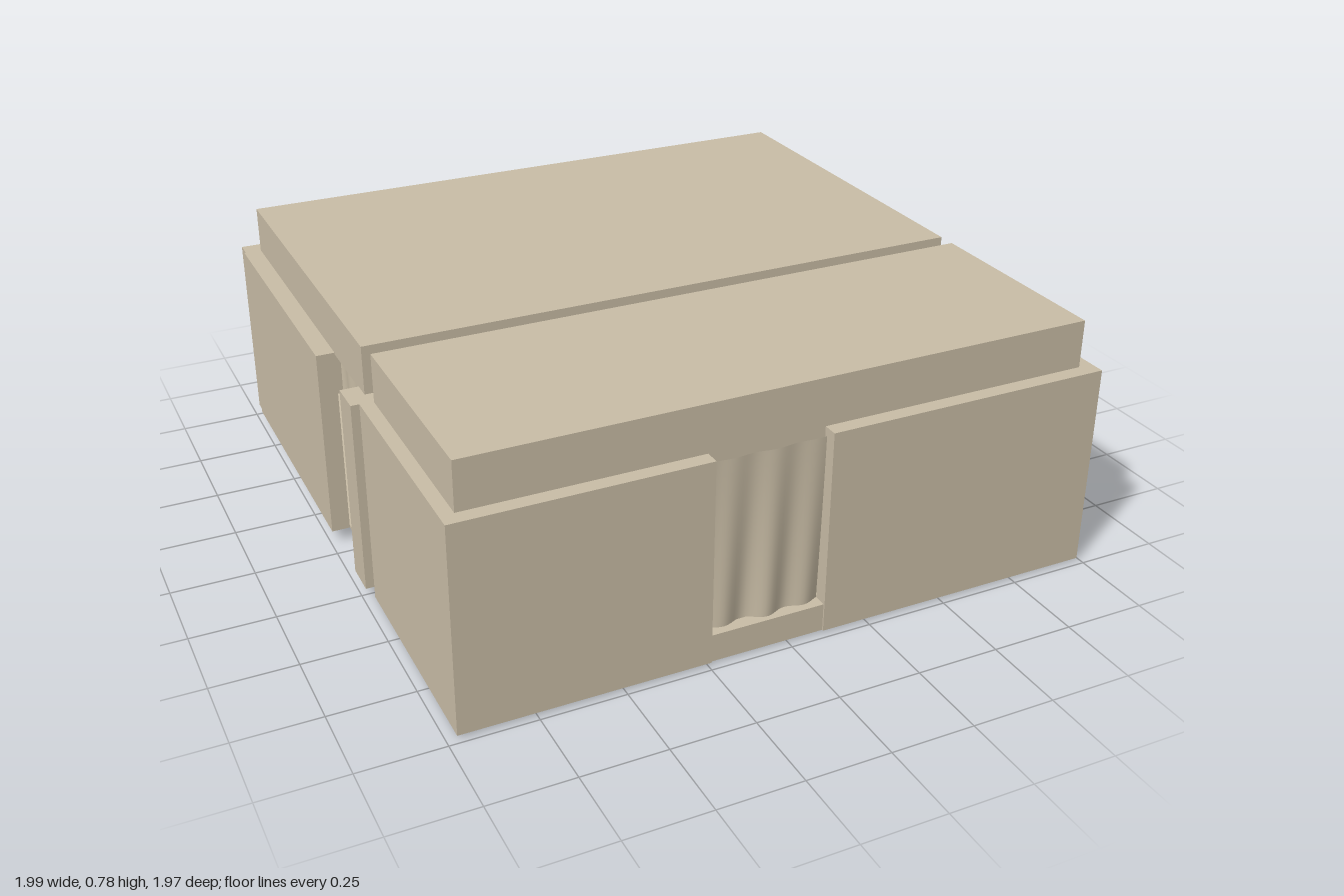
import * as THREE from 'three';

const material = new THREE.MeshStandardMaterial({ color: 0xc9bda6 });
const clothMaterial = new THREE.MeshStandardMaterial({ color: 0xc9bda6, side: THREE.DoubleSide });

// Box given by its limits on each axis
function block(name, [x0, x1], [y0, y1], [z0, z1]) {
  const mesh = new THREE.Mesh(new THREE.BoxGeometry(x1 - x0, y1 - y0, z1 - z0), material);
  mesh.name = name;
  mesh.position.set((x0 + x1) / 2, (y0 + y1) / 2, (z0 + z1) / 2);
  return mesh;
}

// Hanging cloth: folds deepen towards an uneven hem
function curtain(name, width, bottom, top, phase) {
  const height = top - bottom;
  const geometry = new THREE.PlaneGeometry(width, height, 28, 12);
  const p = geometry.attributes.position;
  for (let i = 0; i < p.count; i++) {
    const x = p.getX(i), drop = 0.5 - p.getY(i) / height;
    const fold = Math.sin(x * 50 + phase + drop) + 0.5 * Math.sin(x * 23 + phase * 2);
    p.setZ(i, fold * (0.003 + 0.007 * drop));
    p.setY(i, p.getY(i) + drop * 0.008 * Math.sin(x * 31 + phase));
  }
  geometry.computeVertexNormals();
  const mesh = new THREE.Mesh(geometry, clothMaterial);
  mesh.name = name;
  mesh.position.y = (top + bottom) / 2;
  return mesh;
}

export function createModel() {
  const model = new THREE.Group();

  // Rear room: floor and walls, with doorways cut to full height
  const rearY = [0.05, 0.64];
  const rear = new THREE.Group();
  rear.name = 'rearRoom';
  rear.add(
    block('rearFloor', [-0.94, 0.945], [0.05, 0.06], [-0.93, 0.23]),
    block('rearWallRight', [-0.99, -0.26], rearY, [-0.985, -0.93]),
    block('rearWallLeft', [0.15, 0.995], rearY, [-0.985, -0.93]),
    block('leftWall', [0.945, 0.995], rearY, [-0.93, 0.285]),
    block('rightWallBack', [-0.995, -0.94], rearY, [-0.93, -0.06]),
    block('rightDoorJamb', [-0.995, -0.94], rearY, [0.18, 0.285]),
    block('partitionRight', [-0.94, -0.29], [0.015, 0.64], [0.23, 0.285]),
    block('partitionLeft', [0.08, 0.945], [0.015, 0.64], [0.23, 0.285]),
    block('rearRoof', [-0.94, 0.945], [0.635, 0.785], [-0.93, 0.235])
  );

  // Front room: sits slightly lower than the rear room
  const frontY = [0.015, 0.64];
  const front = new THREE.Group();
  front.name = 'frontRoom';
  front.add(
    block('frontFloor', [-0.93, 0.945], [0.02, 0.03], [0.285, 0.935]),
    block('frontWallRight', [-0.97, -0.24], frontY, [0.935, 0.98]),
    block('frontWallLeft', [0.11, 0.99], frontY, [0.935, 0.98]),
    block('frontLeftWall', [0.945, 0.99], frontY, [0.285, 0.935]),
    block('frontRightWall', [-0.97, -0.93], frontY, [0.285, 0.935]),
    block('threshold', [-0.24, 0.11], [0.015, 0.1], [0.935, 0.975]),
    block('frontRoof', [-0.93, 0.945], [0.635, 0.785], [0.29, 0.935])
  );

  // Curtains in the four doorways
  const frontCurtain = curtain('frontCurtain', 0.35, 0.09, 0.615, 0.4);
  frontCurtain.position.x = -0.065;
  frontCurtain.position.z = 0.945;
  const partitionCurtain = curtain('partitionCurtain', 0.37, 0.015, 0.615, 1.3);
  partitionCurtain.position.x = -0.105;
  partitionCurtain.position.z = 0.22;
  const rearCurtain = curtain('rearCurtain', 0.41, 0.015, 0.615, 2.1);
  rearCurtain.position.x = -0.055;
  rearCurtain.position.z = -0.915;
  const sideCurtain = curtain('sideCurtain', 0.24, 0.06, 0.615, 3.2);
  sideCurtain.rotation.y = Math.PI / 2;
  sideCurtain.position.x = -0.925;
  sideCurtain.position.z = 0.06;

  model.add(rear, front, frontCurtain, partitionCurtain, rearCurtain, sideCurtain);
  return model;
}
